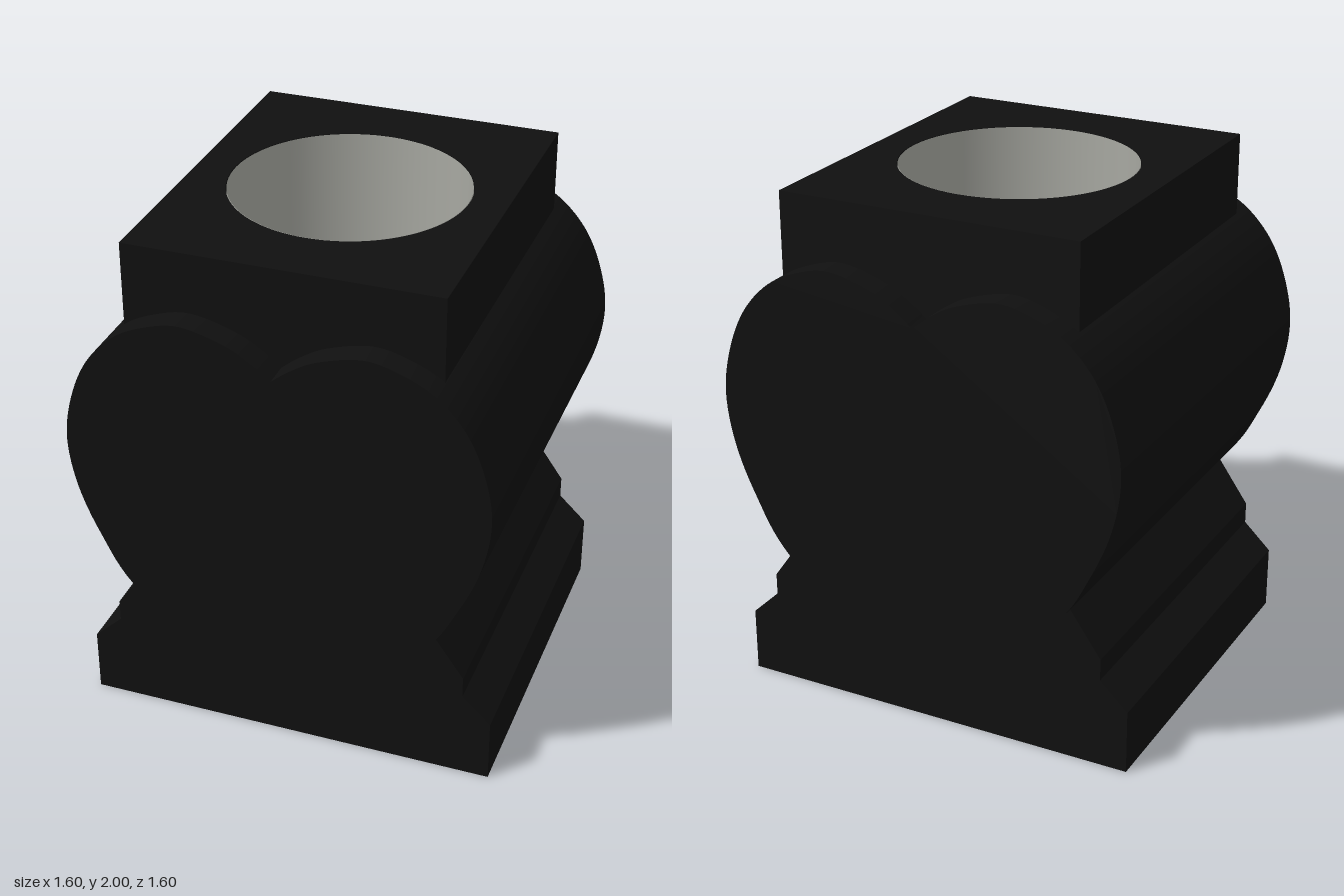
import * as THREE from 'three';

const black = new THREE.MeshStandardMaterial({ color: 0x101010, side: THREE.DoubleSide });
black.name = 'black stone';
const grey = new THREE.MeshStandardMaterial({ color: 0xa6a7a0, side: THREE.DoubleSide });
grey.name = 'grey lining';

const HEART_Z = 0.8, BLOCK_Z = 0.7, NECK_X = 0.59, BORE_R = 0.45, FLOOR_Y = 0.8;

// Right half of the heart, from the bottom tip round to the notch
const half = new THREE.SplineCurve([
  [0, 0.18], [0.3, 0.375], [0.57, 0.62], [0.69, 0.82], [0.77, 1.02], [0.8, 1.22],
  [0.77, 1.4], [0.7, 1.56], [0.59, 1.68], [0.46, 1.745], [0.33, 1.77],
  [0.17, 1.73], [0.07, 1.675], [0, 1.62],
].map(([x, y]) => new THREE.Vector2(x, y))).getPoints(78);

// Smooth wall sweeping a half outline along z; side -1 mirrors it
function wall(points, z0, z1, side) {
  const pos = [], index = [];
  points.forEach((p, i) => {
    pos.push(side * p.x, p.y, z0, side * p.x, p.y, z1);
    if (i === 0) return;
    const a = 2 * i - 2, b = a + 1, c = a + 2, d = a + 3;
    if (side > 0) index.push(a, c, b, b, c, d);
    else index.push(a, b, c, b, d, c);
  });
  const g = new THREE.BufferGeometry();
  g.setAttribute('position', new THREE.Float32BufferAttribute(pos, 3));
  g.setIndex(index);
  g.computeVertexNormals();
  return g;
}

export function createModel() {
  const model = new THREE.Group();
  const add = (name, geometry, material, parent = model) => {
    const mesh = new THREE.Mesh(geometry, material);
    mesh.name = name;
    parent.add(mesh);
    return mesh;
  };

  // Heart body: side walls, open under the neck, with lobes at both ends
  const heart = new THREE.Group();
  heart.name = 'heart';
  model.add(heart);
  const cut = half.findIndex((p) => p.y > 1.5 && p.x < NECK_X - 0.01);
  const lower = half.slice(0, cut + 1), lobe = half.slice(cut);
  for (const side of [1, -1]) {
    add('heartSide', wall(lower, -HEART_Z, HEART_Z, side), black, heart);
    add('frontLobe', wall(lobe, BLOCK_Z - 0.01, HEART_Z, side), black, heart);
    add('backLobe', wall(lobe, -HEART_Z, 0.01 - BLOCK_Z, side), black, heart);
  }
  const outline = [...half, ...half.slice(1, -1).reverse().map((p) => new THREE.Vector2(-p.x, p.y))];
  const face = new THREE.ShapeGeometry(new THREE.Shape(outline));
  add('heartFront', face, black, heart).position.z = HEART_Z;
  const back = add('heartBack', face, black, heart);
  back.position.z = -HEART_Z;
  back.rotation.y = Math.PI;

  // Stepped base
  const step = [[0.8, 0], [0.8, 0.25], [0.69, 0.355], [0.69, 0.44], [0.56, 0.625]];
  const profile = [...step, ...step.map(([x, y]) => [-x, y]).reverse()]
    .map(([x, y]) => new THREE.Vector2(x, y));
  const base = new THREE.ExtrudeGeometry(new THREE.Shape(profile), { depth: 2 * BLOCK_Z, bevelEnabled: false });
  add('base', base.translate(0, 0, -BLOCK_Z), black);

  // Square neck with a round opening
  const square = new THREE.Shape([[-1, -1], [1, -1], [1, 1], [-1, 1]]
    .map(([x, z]) => new THREE.Vector2(x * NECK_X, z * BLOCK_Z)));
  square.holes.push(new THREE.Path().absarc(0, 0, BORE_R, 0, Math.PI * 2, true));
  const neck = new THREE.ExtrudeGeometry(square, { depth: 0.5, bevelEnabled: false, curveSegments: 64 });
  add('neck', neck.rotateX(-Math.PI / 2).translate(0, 1.5, 0), black);

  // Lined bore
  const r = BORE_R - 0.003, depth = 1.999 - FLOOR_Y;
  const lining = new THREE.CylinderGeometry(r, r, depth, 64, 1, true);
  add('boreWall', lining.translate(0, FLOOR_Y + depth / 2, 0), grey);
  add('boreFloor', new THREE.CircleGeometry(r, 64).rotateX(-Math.PI / 2).translate(0, FLOOR_Y, 0), grey);

  return model;
}
